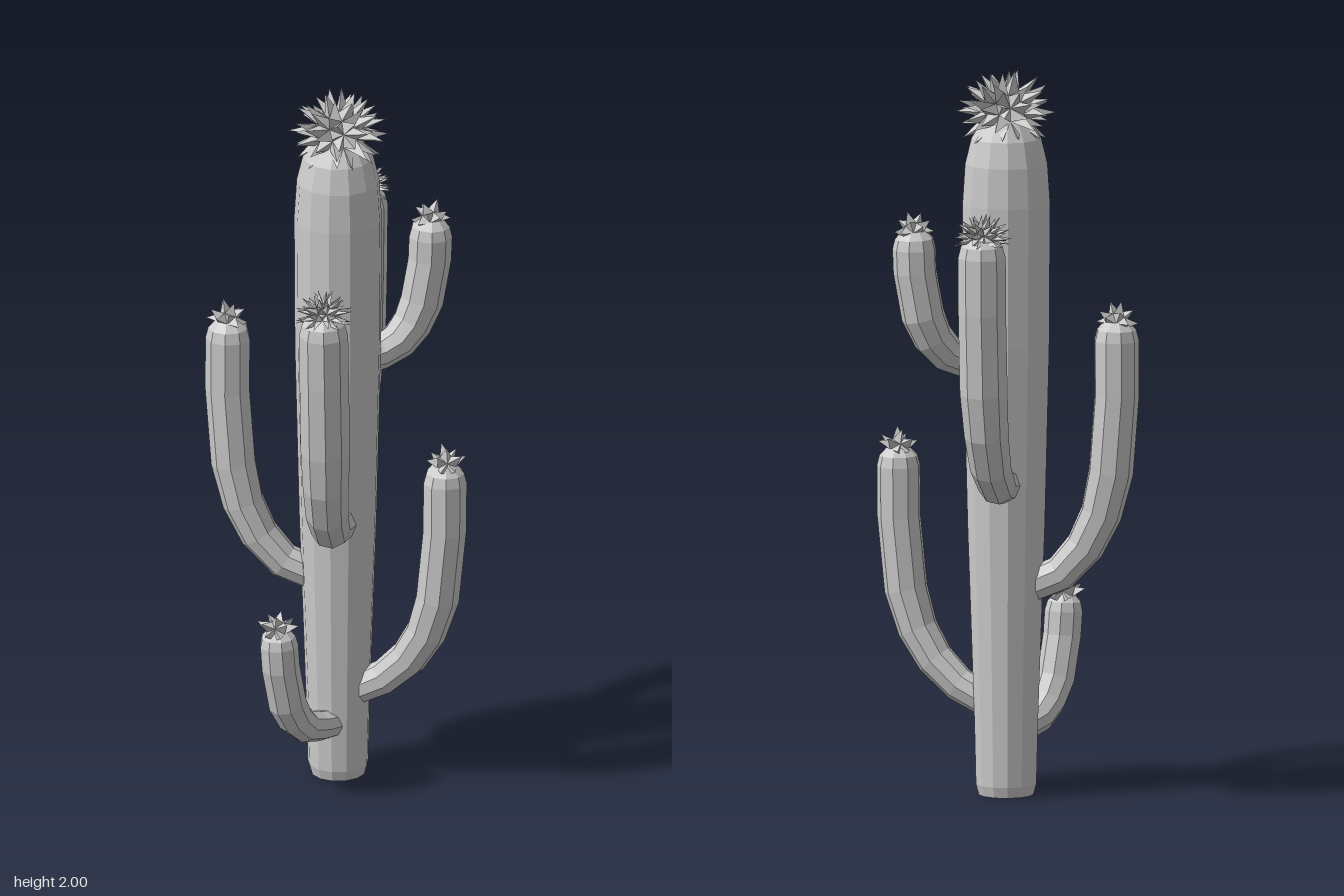
import * as THREE from 'three';
import { ParametricGeometry } from 'three/addons/geometries/ParametricGeometry.js';

const material = new THREE.MeshStandardMaterial({ color: 0xcccccc, flatShading: true, side: THREE.DoubleSide });
const V = (x, y, z) => new THREE.Vector3(x, y, z);

function part(name, geometry) {
  const mesh = new THREE.Mesh(geometry, material);
  mesh.name = name;
  return mesh;
}

// Seeded generator for the uneven spikes
function seeded(seed) {
  let s = seed;
  return () => (s = (s * 16807) % 2147483647) / 2147483647;
}

// Starburst: every face of a small icosphere is pulled out into a spike
function spikes(detail, inner, outer, minY, seed) {
  const rand = seeded(seed);
  const core = new THREE.IcosahedronGeometry(inner, detail).getAttribute('position');
  const out = [];
  for (let i = 0; i < core.count; i += 3) {
    const c = [0, 1, 2].map(k => V().fromBufferAttribute(core, i + k));
    const tip = c[0].clone().add(c[1]).add(c[2]).normalize();
    if (tip.y < minY) continue;
    tip.x += (rand() - 0.5) * 0.2;
    tip.z += (rand() - 0.5) * 0.2;
    tip.setLength(outer * (0.85 + 0.15 * rand()));
    for (let k = 0; k < 3; k++) {
      for (const p of [c[k], c[(k + 1) % 3], tip]) out.push(p.x, p.y, p.z);
    }
  }
  const geometry = new THREE.BufferGeometry();
  geometry.setAttribute('position', new THREE.Float32BufferAttribute(out, 3));
  geometry.computeVertexNormals();
  return geometry;
}

// Arm: tapered tube along a curve, closed by a rounded dome
function armGeometry(points, radius) {
  const curve = new THREE.CatmullRomCurve3(points);
  const dome = radius / curve.getLength();
  const stations = [0, 0.12, 0.24, 0.36, 0.5, 0.75].map(u => [u, 0.74 + 0.26 * Math.min(1, u / 0.5)]);
  for (const a of [0, 0.5, 1, Math.PI / 2]) {
    stations.push([1 - dome * (1 - Math.sin(a)), Math.cos(a)]);
  }
  const last = points[points.length - 1];
  const side = V(last.z - points[0].z, 0, points[0].x - last.x).normalize();
  const n = stations.length - 1;
  return new ParametricGeometry((u, v, target) => {
    // Blend between neighbouring stations
    const f = Math.min(Math.max(v, 0), 1) * n;
    const i = Math.min(Math.floor(f), n - 1);
    const at = THREE.MathUtils.lerp(stations[i][0], stations[i + 1][0], f - i);
    const r = radius * THREE.MathUtils.lerp(stations[i][1], stations[i + 1][1], f - i);
    const normal = curve.getTangentAt(at).cross(side).normalize();
    const angle = u * Math.PI * 2;
    target.copy(curve.getPointAt(at))
      .addScaledVector(side, r * Math.cos(angle))
      .addScaledVector(normal, r * Math.sin(angle));
  }, 9, n);
}

const arms = [
  { name: 'upperLeftBackArm', r: 0.066, big: true, path: [[0.03, 0.86, -0.05], [0.13, 0.885, -0.12], [0.2, 0.97, -0.165], [0.245, 1.17, -0.19], [0.262, 1.6, -0.2]] },
  { name: 'upperLeftArm', r: 0.06, path: [[0.06, 1.2, 0], [0.15, 1.22, 0.03], [0.215, 1.29, 0.05], [0.25, 1.42, 0.065], [0.26, 1.585, 0.067]] },
  { name: 'lowerLeftFrontArm', r: 0.06, path: [[0.01, 0.25, 0.03], [0.06, 0.31, 0.12], [0.1, 0.42, 0.2], [0.125, 0.6, 0.248], [0.138, 0.95, 0.253]] },
  { name: 'upperRightFrontArm', r: 0.068, big: true, path: [[-0.06, 0.76, 0.04], [-0.15, 0.79, 0.1], [-0.21, 0.89, 0.15], [-0.243, 1.1, 0.18], [-0.265, 1.49, 0.195]] },
  { name: 'lowerRightArm', r: 0.053, path: [[-0.06, 0.165, 0.015], [-0.17, 0.19, 0.025], [-0.235, 0.26, 0.032], [-0.275, 0.38, 0.04], [-0.288, 0.52, 0.04]] },
  { name: 'middleRightBackArm', r: 0.062, path: [[-0.04, 0.57, -0.06], [-0.11, 0.62, -0.14], [-0.165, 0.75, -0.21], [-0.19, 0.96, -0.25], [-0.195, 1.32, -0.255]] },
];

export function createModel() {
  const cactus = new THREE.Group();
  cactus.name = 'cactus';

  // Trunk widens upwards and rounds off under the crown
  const profile = [[0, 0], [0.075, 0], [0.083, 0.03], [0.087, 0.2], [0.106, 0.75], [0.118, 1.25],
    [0.12, 1.63], [0.113, 1.74], [0.096, 1.81], [0.06, 1.87], [0, 1.89]];
  const trunk = part('trunk', new THREE.LatheGeometry(profile.map(p => new THREE.Vector2(...p)), 13));
  trunk.position.set(-0.01, 0, -0.015);
  cactus.add(trunk);

  // Full starburst on the trunk
  const crown = part('crownSpikes', spikes(1, 0.068, 0.142, -2, 7));
  crown.position.set(-0.01, 1.882, -0.012);
  crown.scale.y = 0.88;
  cactus.add(crown);

  // Arms, each with a smaller tuft at its tip
  arms.forEach((arm, i) => {
    const points = arm.path.map(p => V(...p));
    const group = new THREE.Group();
    group.name = arm.name;
    group.add(part('armStem', armGeometry(points, arm.r)));
    const tuft = part('armSpikes', arm.big
      ? spikes(1, 0.036, 0.085, -0.3, 11 + i)
      : spikes(0, 0.03, 0.064, -0.25, 11 + i));
    tuft.position.copy(points[4]);
    tuft.position.y -= 0.012;
    tuft.rotation.y = i * 1.3;
    if (arm.big) tuft.scale.y = 0.85;
    group.add(tuft);
    cactus.add(group);
  });
  return cactus;
}
